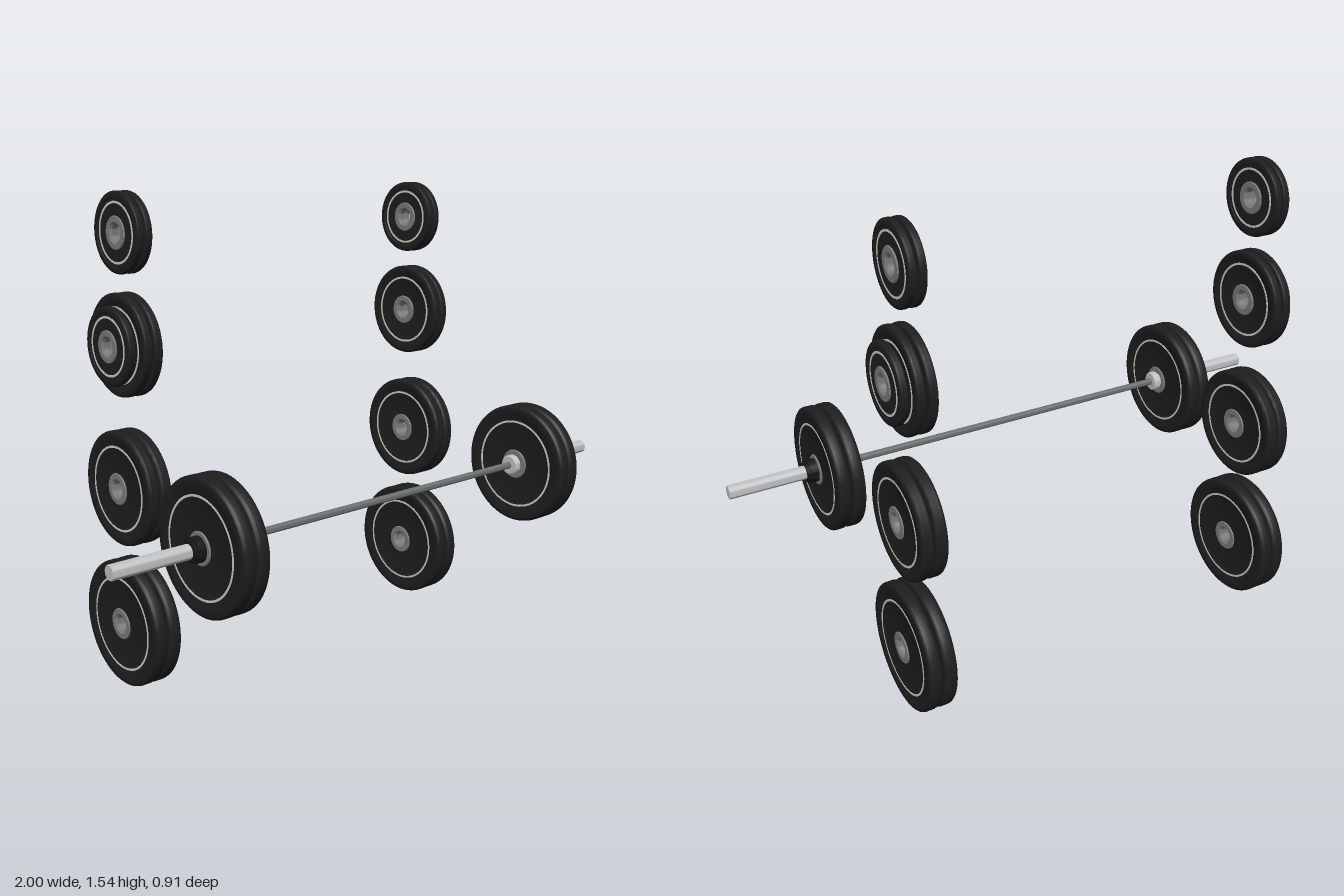
import * as THREE from 'three';
import { toCreasedNormals } from 'three/addons/utils/BufferGeometryUtils.js';

const mat = (name, color) => {
  const m = new THREE.MeshStandardMaterial({ color });
  m.name = name;
  return m;
};

export function createModel() {
  const rubber = mat('black rubber', 0x1e1e1e);
  const marking = mat('pale ring', 0xcfcfcb);
  const hubSteel = mat('hub steel', 0x7b7d7e);
  const barSteel = mat('bar steel', 0x6c7270);
  const chrome = mat('bright chrome', 0xc2c3c4);
  const clampBlack = mat('clamp black', 0x161616);

  // Turns a [radius, x] profile about the x axis
  const turned = (name, profile, material, segments = 48) => {
    const points = profile.map(([r, x]) => new THREE.Vector2(r, x));
    const geometry = toCreasedNormals(new THREE.LatheGeometry(points, segments), 0.6);
    geometry.rotateZ(-Math.PI / 2);
    const mesh = new THREE.Mesh(geometry, material);
    mesh.name = name;
    return mesh;
  };

  // Closed ring with a rectangular section
  const ring = (name, inner, outer, x0, x1, material, segments = 48) =>
    turned(name, [[inner, x0], [outer, x0], [outer, x1], [inner, x1], [inner, x0]], material, segments);

  // Solid rod between two x positions, with a small chamfer
  const rod = (name, r, x0, x1, material, c = 0.002) =>
    turned(name, [[0, x0], [r - c, x0], [r, x0 + c], [r, x1 - c], [r - c, x1], [0, x1]], material, 32);

  // Weight plate: rounded rubber disc, painted rings and steel hub
  const plate = (R, t, hubWidth) => {
    const g = new THREE.Group();
    g.name = 'weightPlate';
    const h = t / 2, face = h - 0.002, b = Math.min(0.01, h * 0.6);
    const rim = [[0.046, face], [R * 0.83, face], [R * 0.85, h], [R - b, h],
      [R - b * 0.5, h - b * 0.14], [R - b * 0.14, h - b * 0.5], [R, h - b]];
    const back = rim.map(([r, x]) => [r, -x]);
    g.add(turned('rubberDisc', [...back, ...rim.slice().reverse(), back[0]], rubber, 64));

    const w = hubWidth / 2;
    g.add(turned('hub', [[0.024, -w + 0.006], [0.032, -w], [0.048, -w], [0.05, -w + 0.002],
      [0.05, w - 0.002], [0.048, w], [0.032, w], [0.024, w - 0.006], [0.024, -w + 0.006]], hubSteel));

    const rr = R * 0.73;
    for (const s of [-1, 1]) {
      const line = ring('paintedRing', rr - 0.0035, rr + 0.0035, -0.0008, 0.0008, marking, 64);
      line.position.x = s * face;
      g.add(line);
    }
    return g;
  };

  const model = new THREE.Group();
  model.name = 'barbellAndPlates';

  // Stored plates: height, then [radius, thickness, hub width, x centre] per plate
  const stacks = [
    [0.205, [[0.204, 0.042, 0.047, 0.597], [0.204, 0.042, 0.047, 0.645]]],
    [0.645, [[0.181, 0.038, 0.042, 0.596], [0.181, 0.038, 0.042, 0.639]]],
    [1.088, [[0.158, 0.028, 0.034, 0.591], [0.158, 0.028, 0.034, 0.626], [0.121, 0.025, 0.03, 0.659]]],
    [1.422, [[0.122, 0.023, 0.028, 0.588], [0.122, 0.023, 0.028, 0.617]]],
  ];
  for (const side of [-1, 1]) {
    for (const [y, plates] of stacks) {
      const stack = new THREE.Group();
      stack.name = side > 0 ? 'leftPlateStack' : 'rightPlateStack';
      stack.position.set(0, y, -0.25);
      for (const [R, t, hub, x] of plates) {
        const p = plate(R, t, hub);
        p.position.x = side * x;
        stack.add(p);
      }
      model.add(stack);
    }
  }

  // Loaded barbell
  const barbell = new THREE.Group();
  barbell.name = 'barbell';
  barbell.position.set(0, 0.596, 0.254);
  barbell.add(rod('shaft', 0.0115, -0.61, 0.61, barSteel));
  for (const side of [-1, 1]) {
    const end = new THREE.Group();
    end.name = side > 0 ? 'leftEnd' : 'rightEnd';
    end.rotation.y = side > 0 ? 0 : Math.PI;
    end.add(rod('sleeve', 0.0225, 0.6, 1, chrome));
    end.add(rod('innerCollar', 0.034, 0.595, 0.621, chrome, 0.004));
    for (const x of [0.645, 0.692]) {
      const p = plate(0.204, 0.042, 0.047);
      p.position.x = x;
      end.add(p);
    }
    // Clamp outside the plates
    end.add(ring('clampCollar', 0.022, 0.038, 0.714, 0.742, clampBlack));
    end.add(ring('clampLip', 0.022, 0.032, 0.742, 0.751, clampBlack));
    barbell.add(end);
  }
  model.add(barbell);
  return model;
}
